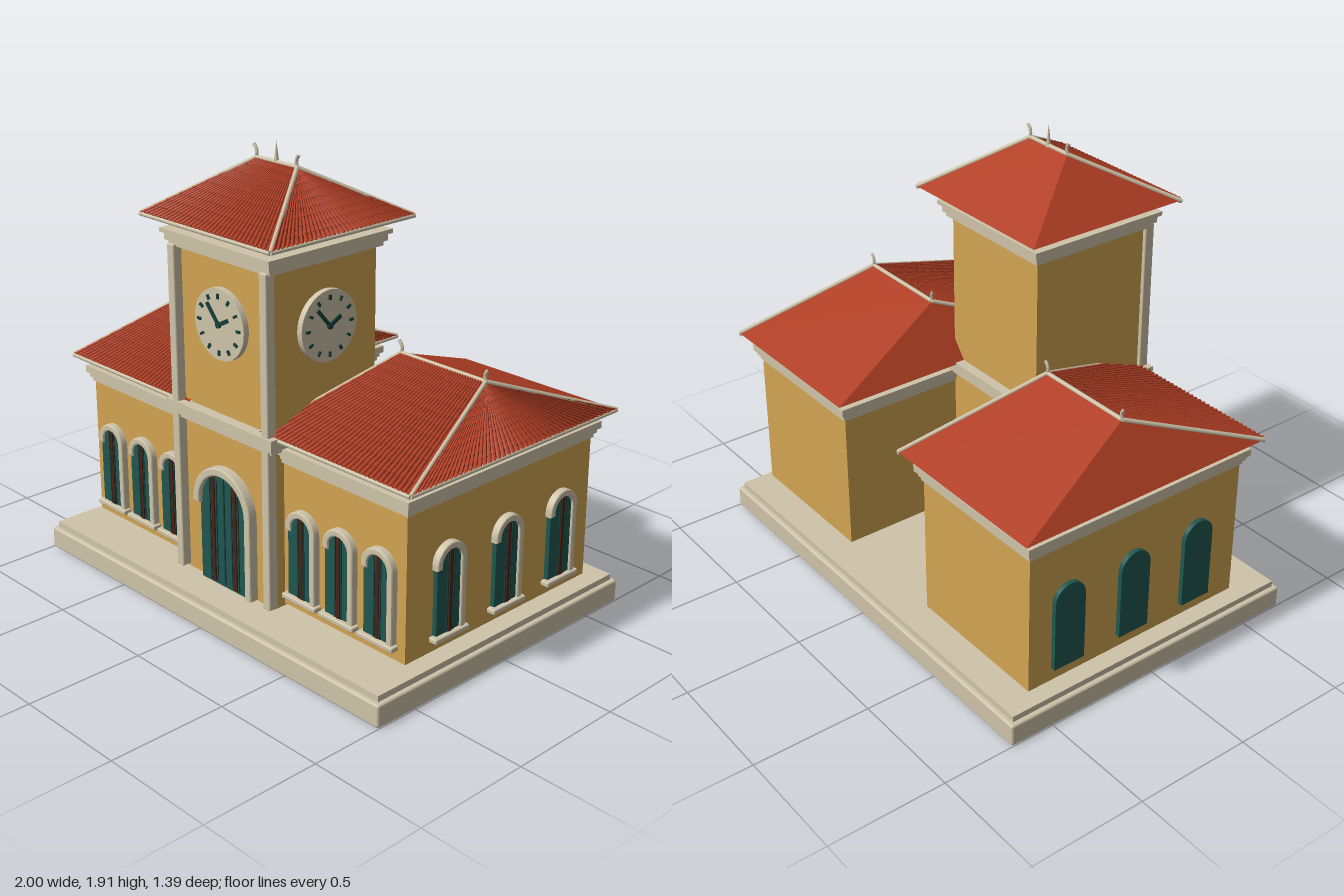
import * as THREE from 'three';
import { RoundedBoxGeometry } from 'three/addons/geometries/RoundedBoxGeometry.js';

const mat = (name, color, extra = {}) => {
  const m = new THREE.MeshStandardMaterial({ color, ...extra });
  m.name = name;
  return m;
};
const V = (x, y, z) => new THREE.Vector3(x, y, z);

export function createModel() {
  const wall = mat('ochre wall', 0xd2a452);
  const stone = mat('pale stone', 0xcfc4aa);
  const roofRed = mat('terracotta', 0xb03e24);
  const groove = mat('tile groove', 0x5a2015);
  const teal = mat('teal glass', 0x20564f);
  const dark = mat('dark green', 0x163f3a);
  const wood = mat('dark wood', 0x4a2418);

  const model = new THREE.Group();
  model.name = 'clockTowerStation';

  const add = (parent, name, geo, material, x = 0, y = 0, z = 0) => {
    const m = new THREE.Mesh(geo, material);
    m.name = name;
    m.position.set(x, y, z);
    parent.add(m);
    return m;
  };
  const group = (parent, name, x = 0, y = 0, z = 0, ry = 0) => {
    const g = new THREE.Group();
    g.name = name;
    g.position.set(x, y, z);
    g.rotation.y = ry;
    parent.add(g);
    return g;
  };
  // Box given by its limits on each axis
  const box = (parent, name, material, x0, x1, y0, y1, z0, z1, r = 0) => {
    const s = [x1 - x0, y1 - y0, z1 - z0];
    const geo = r ? new RoundedBoxGeometry(...s, 2, r) : new THREE.BoxGeometry(...s);
    return add(parent, name, geo, material, (x0 + x1) / 2, (y0 + y1) / 2, (z0 + z1) / 2);
  };
  // Round bar between two points
  const bar = (parent, name, a, b, r) => {
    const m = add(parent, name, new THREE.CylinderGeometry(r, r, a.distanceTo(b), 8), stone);
    m.position.copy(a).lerp(b, 0.5);
    m.quaternion.setFromUnitVectors(V(0, 1, 0), b.clone().sub(a).normalize());
    return m;
  };
  const faces = (...polys) => {
    const p = [];
    for (const q of polys)
      for (let i = 1; i + 1 < q.length; i++) for (const v of [q[0], q[i], q[i + 1]]) p.push(v.x, v.y, v.z);
    const g = new THREE.BufferGeometry();
    g.setAttribute('position', new THREE.Float32BufferAttribute(p, 3));
    g.computeVertexNormals();
    return g;
  };

  // Overlapping barrel tiles in columns fanning from ridge c-d down to eave a-b
  const tiles = (a, b, c, d, columns, rows) => {
    const polys = [];
    const along = b.clone().sub(a).normalize();
    const normal = along.clone().cross(c.clone().sub(a)).normalize();
    const eaveW = a.distanceTo(b), ridgeW = c.distanceTo(d), sides = 4;
    for (let i = 0; i < columns; i++) {
      const t = (i + 0.5) / columns;
      const low = a.clone().lerp(b, t), high = c.clone().lerp(d, t);
      const arc = (s, k) => {
        const r = (k * THREE.MathUtils.lerp(eaveW, ridgeW, s)) / columns;
        const o = low.clone().lerp(high, s);
        return Array.from({ length: sides + 1 }, (_, j) => {
          const an = (Math.PI * j) / sides;
          return o.clone().addScaledVector(along, Math.cos(an) * r)
            .addScaledVector(normal, Math.sin(an) * Math.min(r, 0.011) + 0.001);
        });
      };
      for (let j = 0; j < rows; j++) {
        const p = arc(j / rows, 0.45), q = arc((j + 1) / rows, 0.34);
        for (let k = 0; k < sides; k++) polys.push([p[k], q[k], q[k + 1], p[k + 1]]);
        polys.push(p);
      }
    }
    return faces(...polys);
  };

  // Hipped roof: tiled front and left slopes, plain back and right slopes
  const hipRoof = (name, x, z, hx, hz, y0, y1, ridge, frontCols, sideCols, rows) => {
    const g = group(model, name, x, 0, z);
    const fl = V(-hx, y0, hz), fr = V(hx, y0, hz), br = V(hx, y0, -hz), bl = V(-hx, y0, -hz);
    const l = V(-ridge, y1, 0), r = V(ridge, y1, 0);
    add(g, 'plainSlopes', faces([br, bl, l, r], [bl, fl, l], [fl, bl, br, fr]), roofRed);
    add(g, 'tileBed', faces([fl, fr, r, l], [fr, br, r]), groove);
    add(g, 'frontTiles', tiles(fl, fr, l, r, frontCols, rows), roofRed);
    add(g, 'sideTiles', tiles(fr, br, r, r, sideCols, rows), roofRed);
    for (const [a, b] of [[fl, l], [fr, r], [br, r], [l, r]]) bar(g, 'ridgeTrim', a, b, 0.009);
    for (const [a, b] of [[fl, fr], [fr, br]]) {
      const low = V(0, -0.003, 0);
      bar(g, 'eaveTrim', a.clone().add(low), b.clone().add(low), 0.009);
    }
    // Curled finials on the ridge ends
    for (const s of [-1, 1]) {
      const path = new THREE.CatmullRomCurve3([
        V(s * ridge, y1 - 0.005, 0), V(s * (ridge - 0.004), y1 + 0.02, 0),
        V(s * (ridge + 0.002), y1 + 0.038, 0), V(s * (ridge + 0.013), y1 + 0.05, 0)]);
      add(g, 'finial', new THREE.TubeGeometry(path, 8, 0.007, 6), stone);
    }
    return g;
  };

  // Arched panel and its surround, whose left leg stops at the spring line
  const panelGeo = (w, y0, spring, depth) => {
    const s = new THREE.Shape();
    s.moveTo(-w, y0);
    s.lineTo(w, y0);
    s.lineTo(w, spring);
    s.absarc(0, spring, w, 0, Math.PI, false);
    s.closePath();
    return new THREE.ExtrudeGeometry(s, { depth, bevelEnabled: false, curveSegments: 16 });
  };
  const surroundGeo = (ri, ro, y0, spring, depth) => {
    const b = 0.006, s = new THREE.Shape();
    s.moveTo(-ro + b, spring - 0.01);
    s.lineTo(-ro + b, spring);
    s.absarc(0, spring, ro - b, Math.PI, 0, true);
    s.lineTo(ro - b, y0);
    s.lineTo(ri + b, y0);
    s.lineTo(ri + b, spring);
    s.absarc(0, spring, ri + b, 0, Math.PI, false);
    s.lineTo(-ri - b, spring - 0.01);
    return new THREE.ExtrudeGeometry(s, {
      depth: depth - b, bevelThickness: b, bevelSize: b, bevelSegments: 2, curveSegments: 16 });
  };
  const windowAt = (x, z, ry, framed = true) => {
    const g = group(model, 'archedWindow', x, 0, z, ry);
    add(g, 'pane', panelGeo(0.072, 0.2, 0.5, 0.02), teal);
    if (!framed) return;
    add(g, 'surround', surroundGeo(0.052, 0.08, 0.21, 0.5, 0.03), stone);
    box(g, 'sill', stone, -0.093, 0.093, 0.19, 0.212, 0, 0.04, 0.006);
    box(g, 'mullion', wood, -0.008, 0.008, 0.21, 0.555, 0.018, 0.025);
    for (const s of [-1, 1]) box(g, 'glazingBar', dark, s * 0.016 - 0.002, s * 0.016 + 0.002, 0.21, 0.55, 0.018, 0.024);
  };

  const clockAt = (x, z, ry) => {
    const g = group(model, 'clock', x, 1.245, z, ry);
    add(g, 'dial', new THREE.CylinderGeometry(0.143, 0.143, 0.025, 40).rotateX(Math.PI / 2), stone, 0, 0, 0.0125);
    for (let i = 0; i < 12; i++) {
      const a = (i * Math.PI) / 6;
      const m = add(g, 'hourMark', new THREE.BoxGeometry(0.01, 0.02, 0.008), dark, Math.sin(a) * 0.113, Math.cos(a) * 0.113, 0.028);
      m.rotation.z = -a;
    }
    for (const [name, a, len, w] of [['minuteHand', -0.71, 0.105, 0.013], ['hourHand', 1.08, 0.068, 0.016]]) {
      const m = add(g, name, new THREE.BoxGeometry(w, len, 0.008).translate(0, len / 2 - 0.006, 0), dark, 0, 0, 0.029);
      m.rotation.z = -a;
    }
    add(g, 'hub', new THREE.CylinderGeometry(0.013, 0.013, 0.01, 12).rotateX(Math.PI / 2), dark, 0, 0, 0.029);
  };

  // Plinth
  box(model, 'plinth', stone, -1, 1, 0, 0.095, -0.695, 0.695, 0.01);
  box(model, 'plinthStep', stone, -0.98, 0.98, 0.09, 0.12, -0.675, 0.675);

  // Wings
  for (const s of [-1, 1]) {
    const cx = s * 0.6;
    box(model, 'wingWall', wall, cx - 0.325, cx + 0.325, 0.143, 0.77, -0.56, 0.48);
    [[0.008, 0.745, 0.765], [0.016, 0.763, 0.785], [0.028, 0.783, 0.813]].forEach(([o, y0, y1]) =>
      box(model, 'wingCornice', stone, cx - 0.325 - o, cx + 0.325 + o, y0, y1, -0.56 - o, 0.48 + o));
    hipRoof('wingRoof', s * 0.597, -0.045, 0.393, 0.583, 0.862, 1.083, 0.217, 34, 44, 11);
    for (const x of [0.39, 0.595, 0.8]) windowAt(s * x, 0.48, 0);
    for (const z of [0.265, -0.06, -0.38]) windowAt(s * 0.925, z, (s * Math.PI) / 2, s > 0);
  }

  // Tower
  box(model, 'towerWall', wall, -0.27, 0.27, 0.13, 1.51, -0.01, 0.53);
  for (const s of [-1, 1])
    box(model, 'pilaster', stone, s * 0.265 - 0.02, s * 0.265 + 0.02, 0.14, 1.51, 0.525, 0.57, 0.006);
  const band = (name, o, y0, y1) =>
    box(model, name, stone, -0.27 - o, 0.27 + o, y0, y1, -0.01 - o, 0.535 + o);
  band('stringCourse', 0.025, 0.8, 0.82);
  band('stringCourse', 0.042, 0.82, 0.868);
  band('towerCornice', 0.02, 1.5, 1.522);
  band('towerCornice', 0.032, 1.52, 1.552);
  band('towerCornice', 0.045, 1.55, 1.567);
  const top = hipRoof('towerRoof', 0, 0.255, 0.372, 0.368, 1.622, 1.823, 0.115, 32, 32, 9);
  add(top, 'spire', new THREE.ConeGeometry(0.011, 0.09, 8), stone, 0, 1.862, 0);
  clockAt(0, 0.53, 0);
  clockAt(0.27, 0.26, Math.PI / 2);

  // Entrance
  const door = group(model, 'entrance', 0, 0, 0.53);
  add(door, 'doorPanel', panelGeo(0.145, 0.13, 0.48, 0.02), teal);
  add(door, 'doorSurround', surroundGeo(0.136, 0.17, 0.14, 0.48, 0.04), stone);
  for (const x of [-0.065, 0.065]) {
    box(door, 'doorPost', wood, x - 0.009, x + 0.009, 0.14, 0.595, 0.018, 0.026);
    for (const s of [-1, 1]) box(door, 'doorBar', dark, x + s * 0.02 - 0.002, x + s * 0.02 + 0.002, 0.14, 0.585, 0.018, 0.024);
  }
  box(door, 'doorSeam', dark, -0.003, 0.003, 0.14, 0.61, 0.018, 0.024);

  return model;
}
